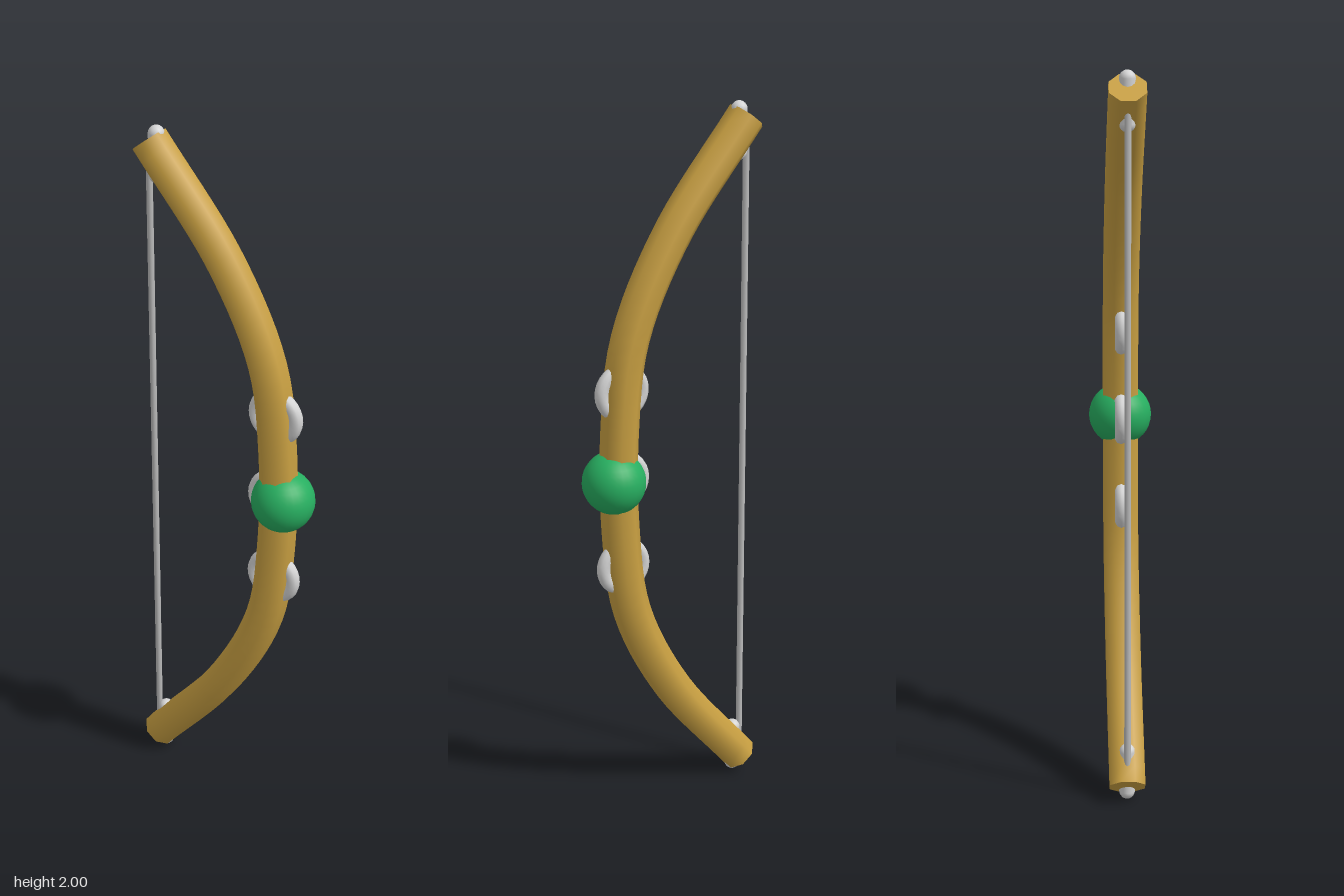
import * as THREE from 'three';

const mat = (name, color) => {
  const m = new THREE.MeshStandardMaterial({ color });
  m.name = name;
  return m;
};

// Octagonal tube that follows a curve in the xy plane, flats facing front and back
function limbGeometry(curve, radius, sides, steps) {
  const pos = [], index = [];
  for (let i = 0; i <= steps; i++) {
    const p = curve.getPointAt(i / steps), t = curve.getTangentAt(i / steps);
    for (let j = 0; j < sides; j++) {
      const a = ((j + 0.5) / sides) * Math.PI * 2;
      const n = Math.cos(a) * radius;
      pos.push(p.x + t.y * n, p.y - t.x * n, Math.sin(a) * radius);
      if (i === steps) continue;
      const k = i * sides + j, r = i * sides + ((j + 1) % sides);
      index.push(k, k + sides, r, r, k + sides, r + sides);
    }
  }
  const g = new THREE.BufferGeometry();
  g.setAttribute('position', new THREE.Float32BufferAttribute(pos, 3));
  g.setIndex(index);
  g.computeVertexNormals();
  return g;
}

export function createModel() {
  const bow = new THREE.Group();
  bow.name = 'bow';
  const wood = mat('golden wood', 0xc9a042);
  const silver = mat('silver', 0xd4d4d4);
  const cord = mat('grey cord', 0xbcbcbc);
  const green = mat('green gem', 0x27ae60);

  const add = (name, geometry, material, x = 0, y = 0, z = 0) => {
    const m = new THREE.Mesh(geometry, material);
    m.name = name;
    m.position.set(x, y, z);
    bow.add(m);
    return m;
  };

  // Curved stave
  const path = new THREE.CatmullRomCurve3([
    [-0.235, 0.043], [0, 0.335], [0.13, 0.6], [0.165, 0.85],
    [0.165, 1.15], [0.13, 1.4], [0, 1.665], [-0.235, 1.957],
  ].map(([x, y]) => new THREE.Vector3(x, y, 0)));
  add('stave', limbGeometry(path, 0.053, 8, 48), wood);

  // Flat stave ends
  for (const [u, dir] of [[0, -1], [1, 1]]) {
    const p = path.getPointAt(u);
    const cap = add('staveEnd', new THREE.CircleGeometry(0.053, 8, Math.PI / 8), wood, p.x, p.y);
    cap.lookAt(p.clone().addScaledVector(path.getTangentAt(u), dir));
  }

  // Rings around the grip
  for (const y of [0.745, 1, 1.255])
    add('gripRing', new THREE.TorusGeometry(0.063, 0.019, 10, 28), silver, 0.158, y);

  // Gem at the centre of the grip
  add('gem', new THREE.SphereGeometry(0.088, 28, 18), green, 0.185, 1);

  // String and the pegs at its ends
  add('string', new THREE.CylinderGeometry(0.009, 0.009, 1.88, 8), cord, -0.236, 1);
  for (const y of [0.08, 1.92])
    add('stringPeg', new THREE.CapsuleGeometry(0.022, 0.116, 6, 12), silver, -0.212, y);

  return bow;
}
